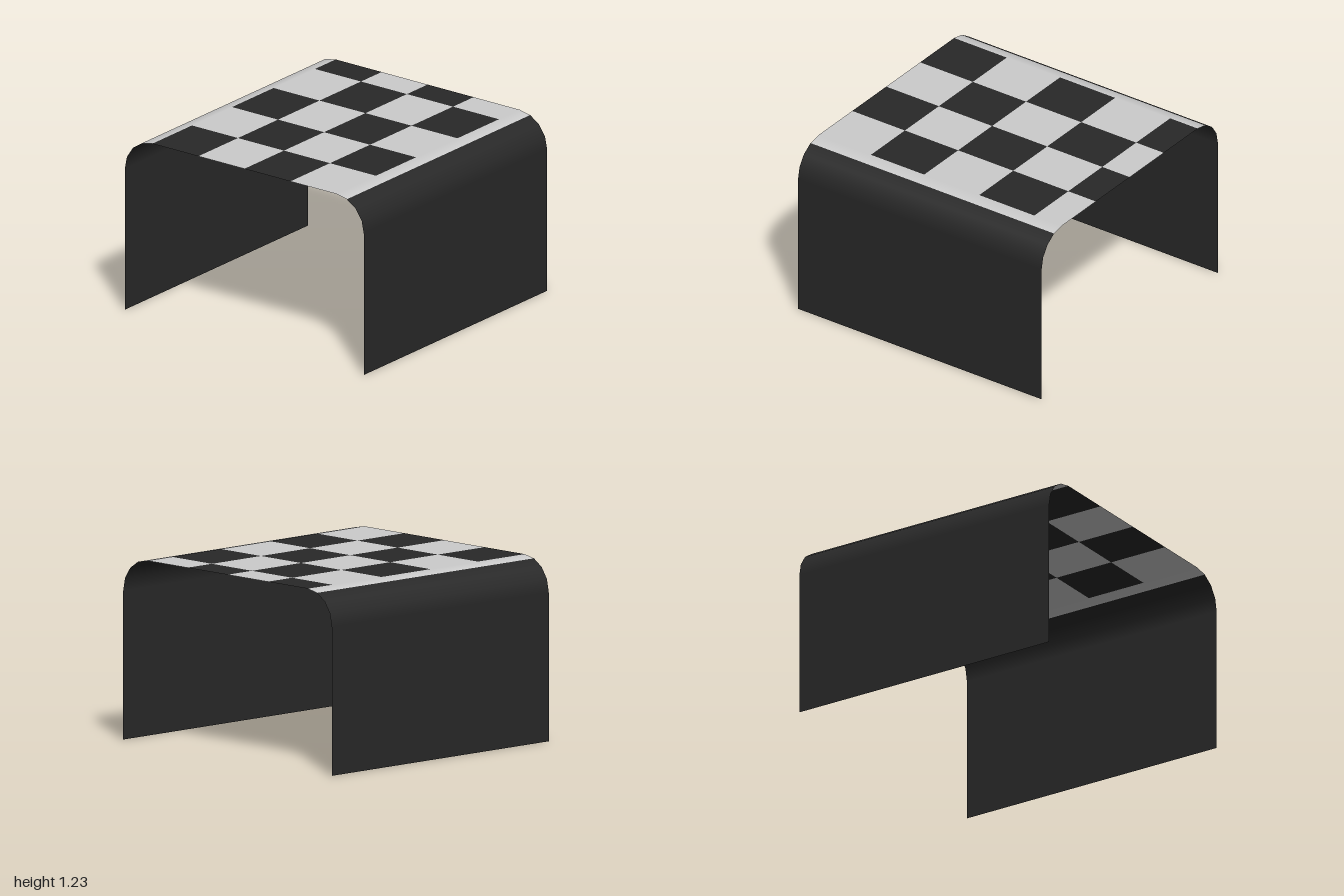
import * as THREE from 'three';

const HALF_X = 0.995, HALF_Z = 1, HEIGHT = 1.23, R = 0.23, STEPS = 4;
const FLAT = HALF_Z - R;
const grey = new THREE.MeshStandardMaterial({ color: 0xcccccc, side: THREE.DoubleSide });
const dark = new THREE.MeshStandardMaterial({ color: 0x282828, side: THREE.DoubleSide });

// Point on the rounded front corner, as [y, z, normalY, normalZ]; step 0 meets the wall
function cornerPoint(step) {
  const a = (step / STEPS) * Math.PI / 2;
  const s = Math.sin(a), c = Math.cos(a);
  return [HEIGHT - R + R * s, FLAT + R * c, s, c];
}

// Sheet from x0 to x1 following a profile, with smooth outward normals
function addSheet(group, name, material, x0, x1, profile) {
  const pos = [], nor = [], index = [];
  profile.forEach(([y, z, ny, nz], i) => {
    pos.push(x0, y, z, x1, y, z);
    nor.push(0, ny, nz, 0, ny, nz);
    if (i === 0) return;
    const k = 2 * i;
    index.push(k - 2, k - 1, k + 1, k - 2, k + 1, k);
  });
  const geo = new THREE.BufferGeometry();
  geo.setAttribute('position', new THREE.Float32BufferAttribute(pos, 3));
  geo.setAttribute('normal', new THREE.Float32BufferAttribute(nor, 3));
  geo.setIndex(index);
  const mesh = new THREE.Mesh(geo, material);
  mesh.name = name;
  group.add(mesh);
  return mesh;
}

export function createModel() {
  const model = new THREE.Group();
  model.name = 'checkeredBentSheetTable';

  // Side walls with the lower part of the bend, and the pale rim at the top of the bend
  const wall = [[0, HALF_Z, 0, 1]];
  for (let i = 0; i < STEPS; i++) wall.push(cornerPoint(i));
  const rim = [cornerPoint(STEPS - 1), cornerPoint(STEPS)];
  for (const side of ['front', 'back']) {
    const turn = side === 'front' ? 0 : Math.PI;
    addSheet(model, side + 'Wall', dark, -HALF_X, HALF_X, wall).rotation.y = turn;
    addSheet(model, side + 'Rim', grey, -HALF_X, HALF_X, rim).rotation.y = turn;
  }

  // Checkered top, cut off unevenly at the two open ends
  const top = new THREE.Group();
  top.name = 'checkeredTop';
  const xs = [-HALF_X, -0.565, -0.13, 0.32, 0.77, HALF_X];
  const rows = 4, depth = 2 * FLAT / rows;
  for (let r = 0; r < rows; r++) {
    const z = -FLAT + r * depth;
    for (let c = 0; c < xs.length - 1; c++) {
      const isDark = (r + c) % 2 === 0;
      addSheet(top, isDark ? 'darkSquare' : 'paleSquare', isDark ? dark : grey,
        xs[c], xs[c + 1], [[HEIGHT, z + depth, 1, 0], [HEIGHT, z, 1, 0]]);
    }
  }
  model.add(top);
  return model;
}
